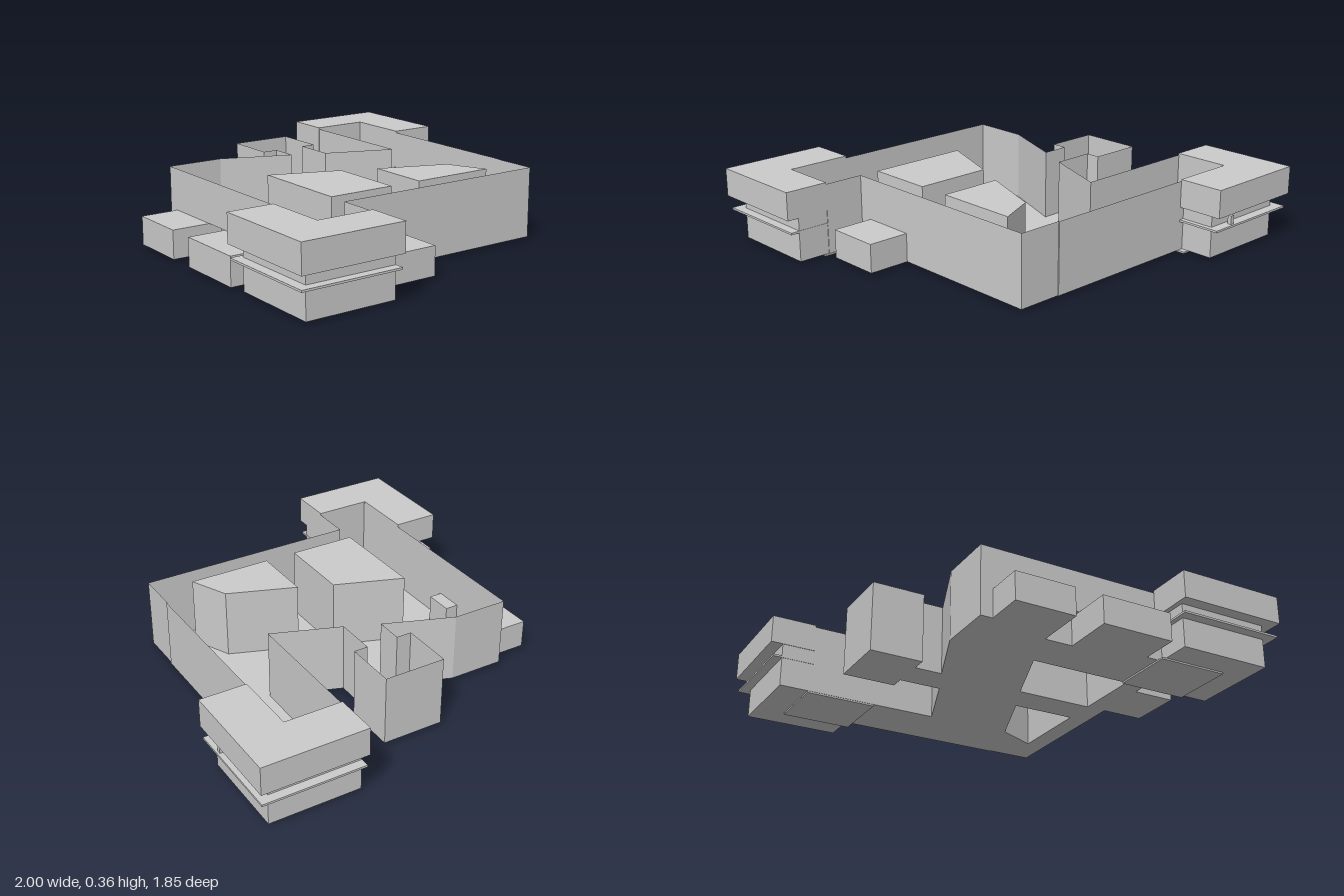
import * as THREE from 'three';

const material = new THREE.MeshStandardMaterial({ color: 0xcccccc, flatShading: true, side: THREE.DoubleSide });
const BASE = 0.01, LOW = 0.15, TOP = 0.355;

// Plan points are [x, z] pairs
const toShape = (pts) => new THREE.Shape(pts.map(([x, z]) => new THREE.Vector2(x, -z)));

function add(parent, name, geometry) {
  const mesh = new THREE.Mesh(geometry, material);
  mesh.name = name;
  parent.add(mesh);
  return mesh;
}

// Flat horizontal sheet at height y, with optional holes
function sheet(parent, name, pts, y, holes = []) {
  const shape = toShape(pts);
  shape.holes = holes.map(toShape);
  return add(parent, name, new THREE.ShapeGeometry(shape).rotateX(-Math.PI / 2).translate(0, y, 0));
}

// Solid block raised from a plan outline
function block(parent, name, pts, y0, y1) {
  const g = new THREE.ExtrudeGeometry(toShape(pts), { depth: y1 - y0, bevelEnabled: false });
  return add(parent, name, g.rotateX(-Math.PI / 2).translate(0, y0, 0));
}

// Thin upright walls following a plan line
function walls(parent, name, pts, y0, y1) {
  const p = [];
  for (let i = 0; i < pts.length - 1; i++) {
    const [ax, az] = pts[i], [bx, bz] = pts[i + 1];
    p.push(bx, y0, bz, ax, y0, az, ax, y1, az, bx, y0, bz, ax, y1, az, bx, y1, bz);
  }
  const g = new THREE.BufferGeometry();
  g.setAttribute('position', new THREE.Float32BufferAttribute(p, 3));
  g.computeVertexNormals();
  return add(parent, name, g);
}

const rect = (x0, x1, z0, z1) => [[x0, z0], [x1, z0], [x1, z1], [x0, z1]];

// L-shaped plan wrapping a wing end: outer limits x0, x1, z0, z1 around an inner corner
const ell = (x0, x1, z0, z1) => [[x0, z1], [x1, z1], [x1, z0], [0.78, z0], [0.78, 0.695], [x0, 0.695]];

// Pavilion wrapped round the end of a wing
function endPavilion(name) {
  const g = new THREE.Group();
  g.name = name;
  block(g, 'pavilionWalls', ell(0.48, 0.94, 0.415, 0.865), BASE, 0.225);
  block(g, 'pavilionLedge', ell(0.455, 0.985, 0.413, 0.915), 0.153, 0.163);
  block(g, 'pavilionRoof', ell(0.455, 1, 0.412, 0.925), 0.225, 0.363);
  block(g, 'basePlate', rect(0.455, 0.8, 0.413, 0.73), 0, BASE - 0.002);
  return g;
}

export function createModel() {
  const model = new THREE.Group();
  model.name = 'building';

  // Main plan, running from one side of the entrance round to the other
  const outline = [
    [-0.1, 0.69], [-0.46, 0.69], [-0.46, 0.41], [-0.33, 0.075], [-0.465, 0.075], [-0.465, 0.15],
    [-0.725, 0.15], [-0.725, -0.155], [-0.465, -0.155], [-0.465, -0.085], [-0.26, -0.085],
    [-0.135, -0.415], [-0.78, -0.415], [-0.78, -0.697], [0.36, -0.695], [0.36, -0.69],
    [0.58, -0.69], [0.58, 0.412], [0.78, 0.412], [0.78, 0.69], [0.04, 0.69],
  ];
  const recess = [[0.04, 0.69], [0.04, 0.625], [-0.1, 0.625], [-0.1, 0.69]];
  const courtyards = [
    [[0.48, -0.5], [0.48, -0.085], [0.165, -0.085], [0.29, -0.415]],
    [[0.48, 0.075], [0.48, 0.41], [-0.03, 0.41], [0.095, 0.075]],
  ];

  // Open-topped shell
  walls(model, 'outerWalls', outline, BASE, TOP);
  sheet(model, 'floor', [...outline, recess[1], recess[2]], BASE, courtyards);

  // Entrance recess in the front wall
  walls(model, 'wallOverEntrance', [recess[0], recess[3]], LOW, TOP);
  walls(model, 'entranceWalls', recess, BASE, LOW);
  sheet(model, 'entranceCeiling', recess, LOW);

  // Courtyard wells, closed on top and open below
  for (const c of courtyards) {
    walls(model, 'courtyardWalls', [...c, c[0]], BASE, TOP);
    sheet(model, 'courtyardRoof', c, TOP);
  }

  // Low annexes
  block(model, 'frontAnnexRight', rect(-0.4, -0.1, 0.69, 0.88), BASE, LOW);
  block(model, 'frontAnnexLeft', rect(0.04, 0.4, 0.69, 0.88), BASE, LOW);
  block(model, 'sideAnnex', rect(0.58, 0.79, 0.075, 0.345), BASE, LOW);

  // Matching pavilions on opposite wing ends
  model.add(endPavilion('frontPavilion'));
  const back = endPavilion('backPavilion');
  back.rotation.y = Math.PI;
  block(back, 'ledgePost', rect(0.575, 0.595, 0.885, 0.905), 0.163, 0.205);
  model.add(back);

  return model;
}
